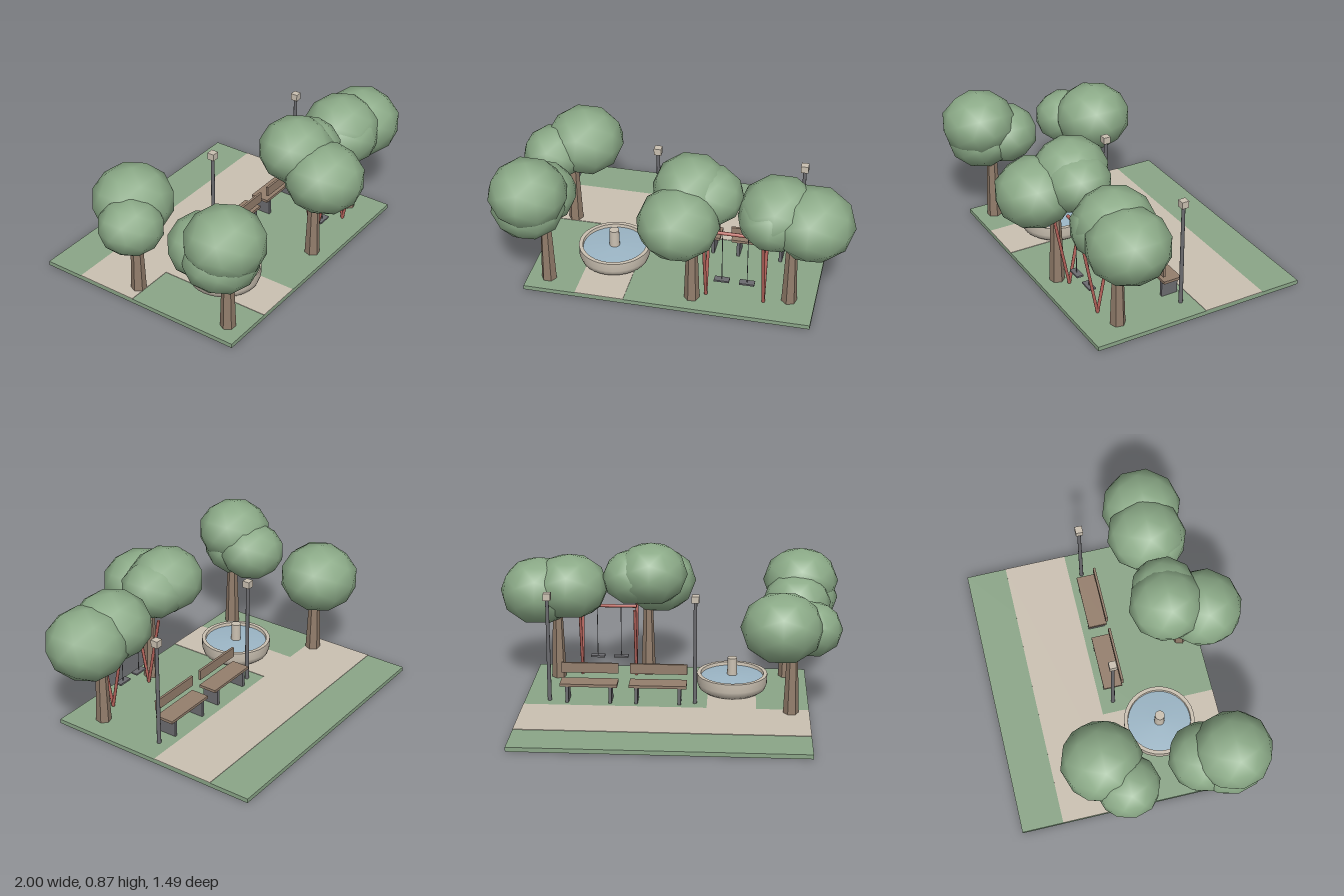
import * as THREE from 'three';

const mat = (name, color, extra = {}) => {
  const m = new THREE.MeshStandardMaterial({ color, ...extra });
  m.name = name;
  return m;
};

export function createModel() {
  const grass = mat('grass', 0x8ba688);
  const leaf = mat('foliage', 0x8cab88);
  const stone = mat('stone', 0xcbc1b2);
  const wood = mat('wood', 0x957f6d);
  const bark = mat('bark', 0x927d6b, { flatShading: true });
  const metal = mat('metal', 0x6c6c70);
  const red = mat('red paint', 0xb5625a);
  const water = mat('water', 0x9cb6c6);

  const park = new THREE.Group();
  park.name = 'park';

  const add = (parent, name, geo, material, x = 0, y = 0, z = 0) => {
    const mesh = new THREE.Mesh(geo, material);
    mesh.name = name;
    mesh.position.set(x, y, z);
    parent.add(mesh);
    return mesh;
  };
  const group = (name, x = 0, y = 0, z = 0) => {
    const g = new THREE.Group();
    g.name = name;
    g.position.set(x, y, z);
    park.add(g);
    return g;
  };
  const box = (w, h, d) => new THREE.BoxGeometry(w, h, d);
  const GROUND = 0.025;

  // Lawn slab with thin path plates
  add(park, 'lawn', box(1.63, GROUND, 1.28), grass, -0.005, GROUND / 2, -0.11);
  add(park, 'mainPath', box(1.63, 0.003, 0.37), stone, -0.005, GROUND + 0.0015, -0.325);
  add(park, 'fountainPath', box(0.28, 0.003, 0.67), stone, -0.38, GROUND + 0.0015, 0.195);

  // Fountain: rounded basin, water and central spout
  const fountain = group('fountain', -0.38, GROUND, 0.165);
  const basin = [[0, 0], [0.165, 0], [0.195, 0.022], [0.206, 0.055], [0.206, 0.106],
    [0.206, 0.106], [0.184, 0.106], [0.184, 0.106], [0.18, 0.06], [0, 0.06]];
  add(fountain, 'basin', new THREE.LatheGeometry(
    basin.map(([r, y]) => new THREE.Vector2(r, y)), 32), stone);
  add(fountain, 'water', new THREE.LatheGeometry(
    [[0.185, 0.086], [0.1, 0.094], [0, 0.098]].map(([r, y]) => new THREE.Vector2(r, y)), 32), water);
  add(fountain, 'spout', new THREE.CylinderGeometry(0.028, 0.03, 0.14, 16), stone, 0, 0.13, 0);

  // Two lamp posts
  for (const x of [-0.17, 0.668]) {
    const lamp = group('lampPost', x, GROUND, -0.063);
    add(lamp, 'pole', new THREE.CylinderGeometry(0.01, 0.012, 0.61, 10), metal, 0, 0.305, 0);
    add(lamp, 'lampHead', box(0.042, 0.04, 0.042), stone, 0, 0.625, 0);
  }

  // Two benches facing the path
  for (const x of [0.042, 0.439]) {
    const bench = group('bench', x, 0, -0.05);
    add(bench, 'seat', box(0.33, 0.016, 0.11), wood, 0, 0.132, 0);
    add(bench, 'backrest', box(0.33, 0.06, 0.014), wood, 0, 0.203, 0.055);
    for (const s of [-1, 1]) {
      add(bench, 'benchLeg', box(0.018, 0.1, 0.1), metal, s * 0.124, 0.074, 0);
    }
  }

  // Swing set: paired legs meeting at the ground, top bar, two hanging seats
  const swing = group('swingSet', 0.365, 0, 0.38);
  const LEG = 0.435;
  const TILT = Math.atan(0.085 / LEG);
  for (const sx of [-1, 1]) for (const sz of [-1, 1]) {
    const leg = add(swing, 'swingLeg',
      new THREE.CylinderGeometry(0.009, 0.009, LEG / Math.cos(TILT), 8), red,
      sx * 0.163, GROUND + LEG / 2, sz * 0.0425);
    leg.rotation.x = sz * TILT;
  }
  add(swing, 'topBar', new THREE.CylinderGeometry(0.01, 0.01, 0.335, 8), red, 0, 0.46, 0)
    .rotation.z = Math.PI / 2;
  for (const x of [-0.073, 0.069]) {
    add(swing, 'swingRope', new THREE.CylinderGeometry(0.0022, 0.0022, 0.315, 6), metal, x, 0.302, 0);
    add(swing, 'swingSeat', box(0.085, 0.01, 0.04), metal, x, 0.143, 0);
  }

  // Trees: tapered trunk and overlapping crowns [x, y, z, radius], slightly squashed
  const trees = [
    { foot: [-0.7, 0.42], crowns: [[-0.775, 0.62, 0.46, 0.222], [-0.75, 0.53, 0.31, 0.2], [-0.785, 0.525, 0.44, 0.21]] },
    { foot: [-0.715, -0.178], crowns: [[-0.653, 0.55, -0.24, 0.23], [-0.81, 0.51, -0.13, 0.182]] },
    { foot: [0.13, 0.42], crowns: [[0.075, 0.59, 0.515, 0.227], [0.105, 0.685, 0.31, 0.215], [0.205, 0.66, 0.32, 0.19]] },
    { foot: [0.666, 0.333], crowns: [[0.77, 0.565, 0.33, 0.233], [0.585, 0.6, 0.31, 0.225], [0.565, 0.575, 0.345, 0.2]] },
  ];
  const crownGeo = new THREE.IcosahedronGeometry(1, 1);
  const trunkGeo = new THREE.CylinderGeometry(0.026, 0.044, 0.5, 6);
  trees.forEach(({ foot, crowns }, i) => {
    const tree = group('tree');
    add(tree, 'trunk', trunkGeo, bark, foot[0], GROUND + 0.25, foot[1]).rotation.y = Math.PI / 6 + i * 0.1;
    crowns.forEach(([x, y, z, r]) => {
      add(tree, 'crown', crownGeo, leaf, x, y, z).scale.set(r, r * 0.87, r);
    });
  });

  return park;
}
